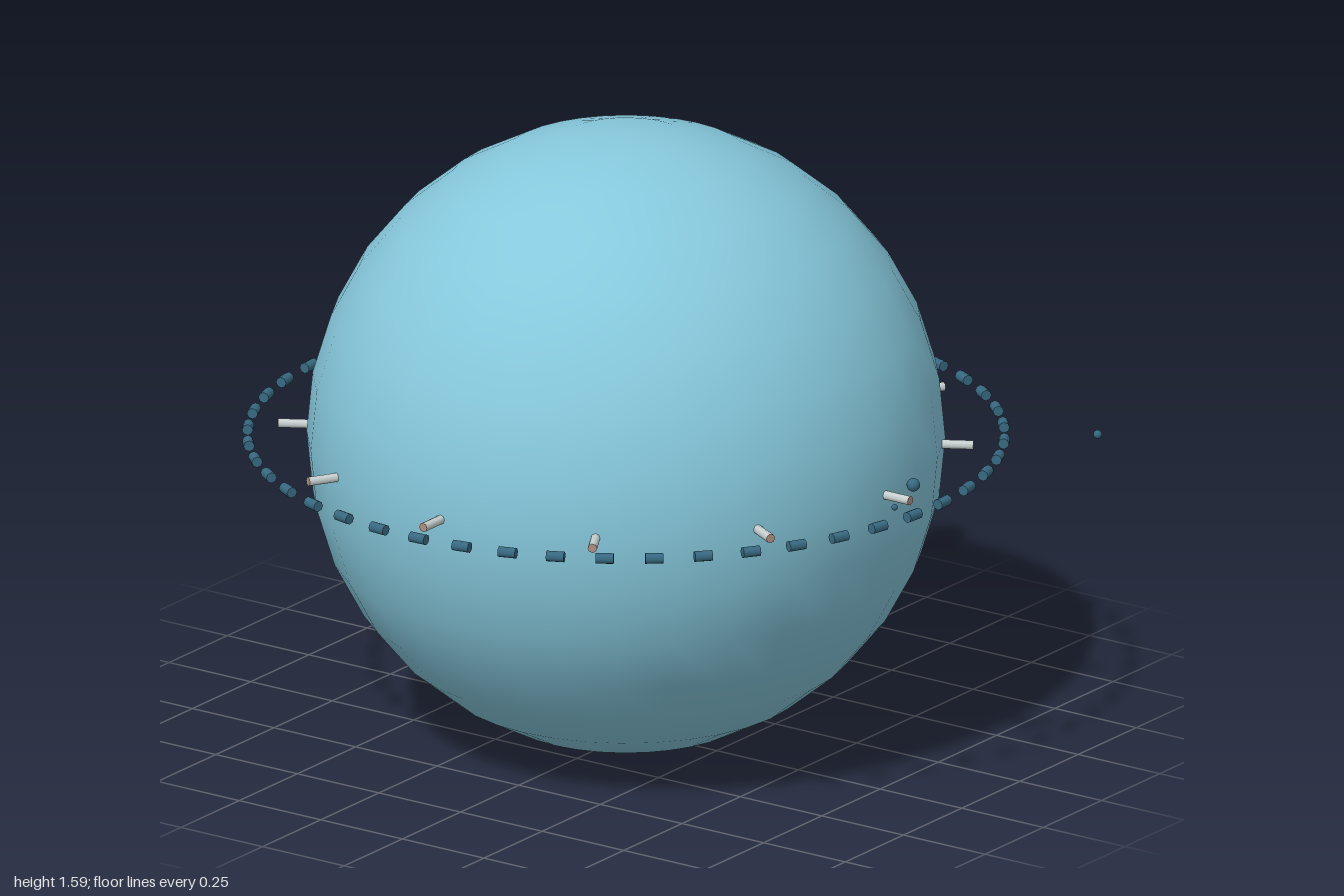
import * as THREE from 'three';

export function createModel() {
  const model = new THREE.Group();
  const material = (name, color) => {
    const m = new THREE.MeshStandardMaterial({ color });
    m.name = name;
    return m;
  };
  const skyBlue = material('skyBlue', 0x86c8dc);
  const deepBlue = material('deepBlue', 0x386a82);
  const paleGrey = material('paleGrey', 0xc8d1d1);
  const tan = material('tan', 0xb08f80);

  const add = (parent, name, geometry, mat, x = 0, y = 0, z = 0) => {
    const mesh = new THREE.Mesh(geometry, mat);
    mesh.name = name;
    mesh.position.set(x, y, z);
    parent.add(mesh);
    return mesh;
  };

  // Planet with its ring and pegs shares one centre
  const planet = new THREE.Group();
  planet.name = 'planet';
  planet.position.set(-0.04, 0.8, 0);
  model.add(planet);
  add(planet, 'globe', new THREE.SphereGeometry(0.797, 32, 16), skyBlue);

  // Dashed ring: short rods laid along the circle
  const ring = new THREE.Group();
  ring.name = 'dashedRing';
  planet.add(ring);
  const dash = new THREE.CylinderGeometry(0.014, 0.014, 0.045, 8).rotateX(Math.PI / 2);
  for (let i = 0; i < 48; i++) {
    const a = (i / 48) * Math.PI * 2 + 0.04;
    const d = add(ring, 'ringDash', dash, deepBlue, Math.cos(a) * 0.944, 0, -Math.sin(a) * 0.944);
    d.rotation.y = a;
  }

  // Twelve pegs pointing outward around the equator
  const pegGeometry = new THREE.CylinderGeometry(0.012, 0.012, 0.1, 8).rotateZ(-Math.PI / 2);
  const tipGeometry = new THREE.CylinderGeometry(0.0118, 0.0118, 0.002, 8).rotateZ(-Math.PI / 2);
  for (let i = 0; i < 12; i++) {
    const peg = new THREE.Group();
    peg.name = 'peg';
    peg.rotation.y = (i / 12) * Math.PI * 2;
    add(peg, 'pegRod', pegGeometry, paleGrey, 0.82);
    add(peg, 'pegTip', tipGeometry, tan, 0.87);
    planet.add(peg);
  }

  // Moon
  add(model, 'moon', new THREE.SphereGeometry(0.058, 24, 16), paleGrey, 0.942, 0.857, -0.15);

  // Drifting specks: x, y, z, radius
  const specks = [
    [-0.03, 0.84, 0.873, 0.017],
    [-0.333, 0.782, 0.86, 0.011],
    [-0.103, 0.8, 0.868, 0.008],
    [0.7, 0.775, 0.917, 0.011],
    [0.757, 0.766, 0, 0.009],
  ];
  for (const [x, y, z, r] of specks) {
    add(model, 'speck', new THREE.SphereGeometry(r, 12, 8), deepBlue, x, y, z);
  }

  return model;
}
